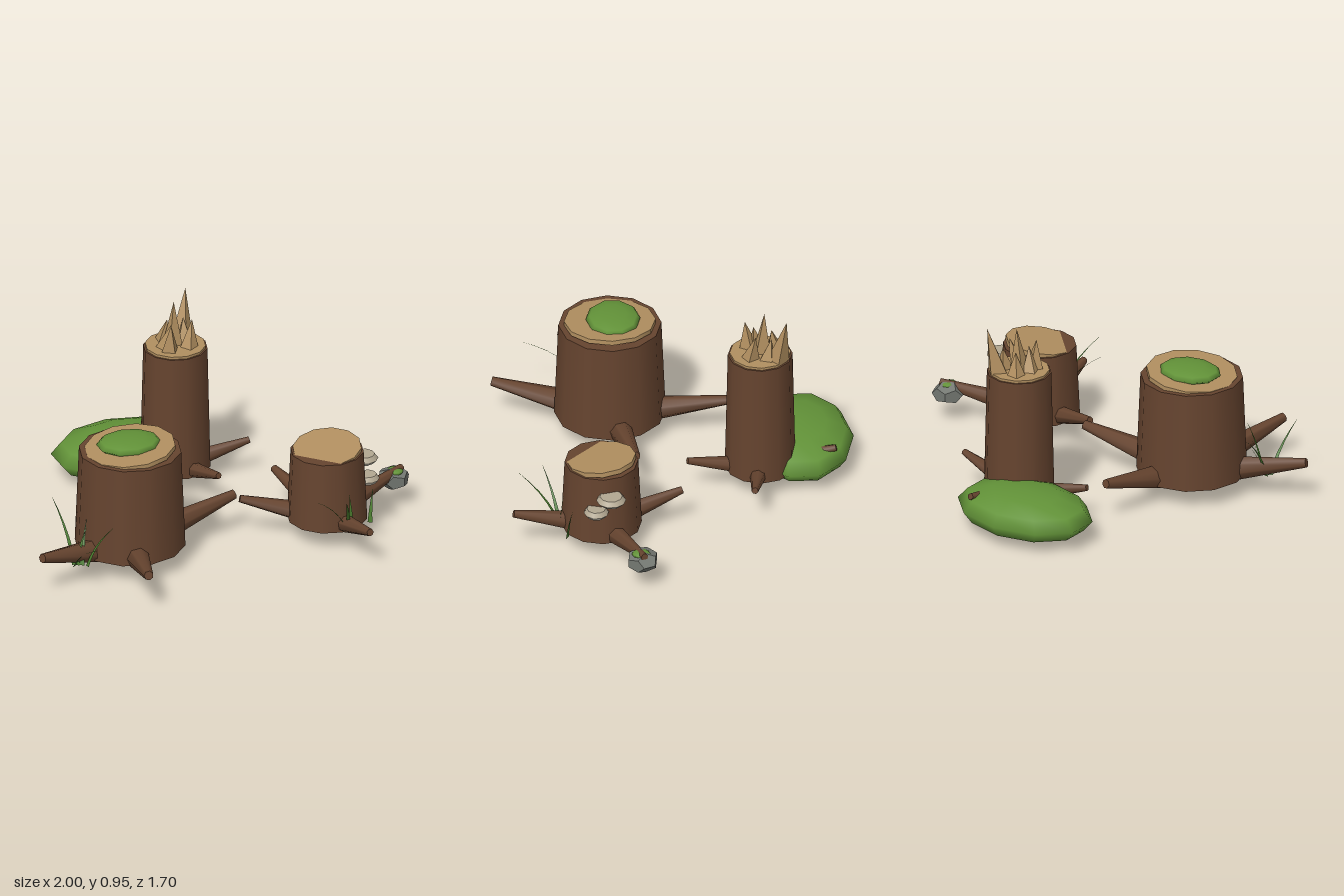
import * as THREE from 'three';

const mat = (name, color, extra = {}) => {
  const m = new THREE.MeshStandardMaterial({ color, ...extra });
  m.name = name;
  return m;
};
const V = (x, y, z) => new THREE.Vector3(x, y, z);

export function createModel() {
  const group = new THREE.Group();
  const bark = mat('bark', 0x66442f);
  const wood = mat('cut wood', 0xb18f60);
  const splinterWood = mat('splintered wood', 0xb18f60, { flatShading: true });
  const moss = mat('moss', 0x629238);
  const grass = mat('grass', 0x487a2c, { side: THREE.DoubleSide });
  const stone = mat('stone', 0x747872, { flatShading: true });
  const fungus = mat('fungus top', 0xb3a892);
  const fungusPale = mat('fungus underside', 0xd6cebc);

  const add = (name, geo, material, x, y, z, parent = group) => {
    const m = new THREE.Mesh(geo, material);
    m.name = name;
    m.position.set(x, y, z);
    parent.add(m);
    return m;
  };

  // tapered cylinder or cone running between two points
  const taper = (name, a, b, r0, r1, sides, material) => {
    const m = add(name, new THREE.CylinderGeometry(r1, r0, a.distanceTo(b), sides), material, 0, 0, 0);
    m.position.copy(a).lerp(b, 0.5);
    m.quaternion.setFromUnitVectors(V(0, 1, 0), b.clone().sub(a).normalize());
    return m;
  };

  const mossMound = (name, x, y, z, rx, ry, rz) => {
    const m = add(name, new THREE.SphereGeometry(1, 10, 6).rotateY(Math.PI / 2), moss, x, y, z);
    m.scale.set(rx, ry, rz);
  };

  // trunks: centre, radii, top height, root thickness and root tips
  const stumps = [
    { name: 'wideStump', x: -0.46, z: 0.285, r0: 0.265, r1: 0.245, top: 0.595, rootR: 0.08, tipR: 0.023, rootY: 0.09,
      cap: { r: 0.218, y: 0.604, h: 0.022, tx: 0, tz: 0.09 },
      tips: [[0.11, 0.21, 0.195], [-0.99, 0.208, 0.485], [-0.59, 0.205, 0.84], [-0.365, 0.205, -0.27]] },
    { name: 'tallStump', x: 0.05, z: -0.4, r0: 0.168, r1: 0.154, top: 0.73, rootR: 0.054, tipR: 0.016, rootY: 0.1,
      cap: { r: 0.145, y: 0.732, h: 0.02, tx: 0, tz: 0 },
      tips: [[0.41, 0.19, -0.355], [0.13, 0.19, -0.05], [-0.3, 0.19, -0.33], [0.07, 0.2, -0.76]] },
    { name: 'smallStump', x: 0.51, z: 0.38, r0: 0.192, r1: 0.175, top: 0.455, rootR: 0.062, tipR: 0.018, rootY: 0.1,
      cap: { r: 0.165, y: 0.459, h: 0.024, tx: 0.1, tz: 0.1 },
      tips: [[0.395, 0.2, -0.01], [0.115, 0.21, 0.25], [0.56, 0.2, 0.8], [0.965, 0.195, 0.2]] },
  ];
  for (const s of stumps) {
    const h = s.top - 0.105;
    add(s.name + 'Trunk', new THREE.CylinderGeometry(s.r1, s.r0, h, 12), bark, s.x, 0.105 + h / 2, s.z);
    const cap = add(s.name + 'CutTop', new THREE.CylinderGeometry(s.cap.r, s.cap.r, s.cap.h, 12), wood, s.x, s.cap.y, s.z);
    cap.rotation.set(s.cap.tx, 0, s.cap.tz);
    for (const t of s.tips)
      taper(s.name + 'Root', V(s.x, s.rootY, s.z), V(...t), s.rootR, s.tipR, 7, bark);
  }

  // broken splinters: base x, z, tip x, y, z, base radius
  const splinters = [
    [0.115, -0.48, 0.15, 0.965, -0.52, 0.055],
    [0.04, -0.41, 0.05, 0.955, -0.42, 0.05],
    [0.0, -0.35, 0.0, 0.88, -0.33, 0.048],
    [-0.01, -0.39, 0.015, 0.86, -0.37, 0.045],
    [0.11, -0.43, 0.11, 0.85, -0.45, 0.045],
    [0.1, -0.35, 0.125, 0.87, -0.375, 0.045],
    [0.015, -0.47, 0.03, 0.85, -0.455, 0.045],
  ];
  splinters.forEach(([bx, bz, tx, ty, tz, r], i) => {
    const geo = new THREE.ConeGeometry(r, 1, 4).rotateY(i * 0.9).translate(0, 0.5, 0);
    // shear the cone so that its tip leans while its base stays level
    const p = geo.attributes.position;
    for (let k = 0; k < p.count; k++) {
      const y = p.getY(k);
      p.setXYZ(k, p.getX(k) + (tx - bx) * y, y * (ty - 0.735), p.getZ(k) + (tz - bz) * y);
    }
    geo.computeVertexNormals();
    add('splinter', geo, splinterWood, bx, 0.735, bz);
  });

  // moss
  mossMound('groundMoss', -0.135, 0.13, -0.6, 0.357, 0.11, 0.255);
  mossMound('stumpMoss', -0.46, 0.622, 0.27, 0.16, 0.034, 0.13);
  mossMound('stoneMoss', 0.925, 0.19, 0.215, 0.038, 0.014, 0.045);

  // stone
  const rock = add('stone', new THREE.DodecahedronGeometry(0.08), stone, 0.92, 0.152, 0.207);
  rock.scale.y = 0.7;
  rock.rotation.y = 0.4;

  // shelf fungi
  for (const [x, y, z, r] of [[0.71, 0.36, 0.345, 0.071], [0.7, 0.287, 0.415, 0.06]]) {
    add('fungusTop', new THREE.CylinderGeometry(r * 0.75, r, 0.022, 10), fungus, x, y + 0.01, z);
    add('fungusUnderside', new THREE.CylinderGeometry(r, r * 0.72, 0.02, 10), fungusPale, x, y - 0.011, z);
  }

  // curved grass blade tapering from base to tip
  const blade = (a, b, w) => {
    const mid = V(a.x * 0.72 + b.x * 0.28, a.y * 0.4 + b.y * 0.6, a.z * 0.72 + b.z * 0.28);
    const curve = new THREE.QuadraticBezierCurve3(a, mid, b);
    const side = V(-(b.z - a.z), 0, b.x - a.x).normalize().add(V(0.5, 0, 0.2)).normalize();
    const pos = [], idx = [], n = 5;
    for (let i = 0; i <= n; i++) {
      const c = curve.getPoint(i / n), d = w * (1 - i / n) + 0.0005;
      pos.push(c.x - side.x * d, c.y, c.z - side.z * d, c.x + side.x * d, c.y, c.z + side.z * d);
      if (i < n) idx.push(2 * i, 2 * i + 1, 2 * i + 2, 2 * i + 1, 2 * i + 3, 2 * i + 2);
    }
    const g = new THREE.BufferGeometry();
    g.setAttribute('position', new THREE.Float32BufferAttribute(pos, 3));
    g.setIndex(idx);
    g.computeVertexNormals();
    add('grassBlade', g, grass, 0, 0, 0);
  };
  const blades = [
    [-0.8, 0.11, 0.42, -0.83, 0.38, 0.21], [-0.81, 0.11, 0.44, -0.78, 0.3, 0.69],
    [-0.77, 0.11, 0.44, -0.71, 0.3, 0.35], [-0.75, 0.11, 0.46, -0.63, 0.31, 0.5],
    [-0.79, 0.11, 0.43, -0.73, 0.28, 0.4],
    [0.54, 0.12, 0.58, 0.45, 0.36, 0.77], [0.53, 0.12, 0.58, 0.345, 0.33, 0.65],
    [0.555, 0.12, 0.58, 0.55, 0.29, 0.56], [0.66, 0.12, 0.55, 0.685, 0.28, 0.525],
  ];
  for (const [ax, ay, az, bx, by, bz] of blades) blade(V(ax, ay, az), V(bx, by, bz), 0.011);

  return group;
}
